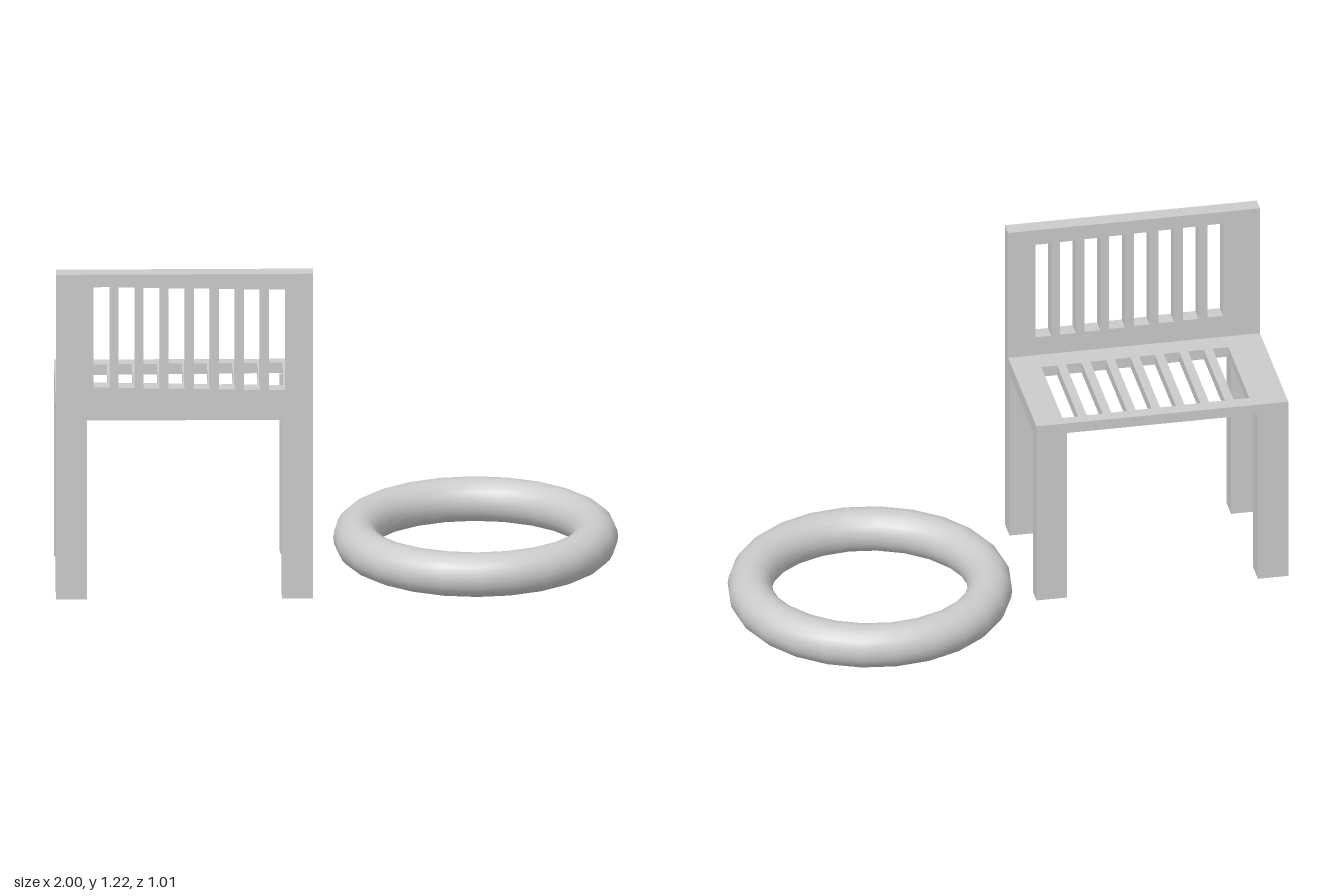
import * as THREE from 'three';

const material = new THREE.MeshStandardMaterial({ color: 0xcccccc });
const SLOTS = 8, PITCH = 0.0887, SLOT_WIDTH = 0.057;

// Box given by its lower and upper corners
function box(name, [x0, y0, z0], [x1, y1, z1]) {
  const mesh = new THREE.Mesh(new THREE.BoxGeometry(x1 - x0, y1 - y0, z1 - z0), material);
  mesh.position.set((x0 + x1) / 2, (y0 + y1) / 2, (z0 + z1) / 2);
  mesh.name = name;
  return mesh;
}

// Flat panel pierced by a row of slots whose ends drift slightly along the row
function slottedPanel(name, [x0, x1], [v0, v1], depth, firstSlot, [low, high], drift) {
  const shape = new THREE.Shape([
    new THREE.Vector2(x0, v0), new THREE.Vector2(x1, v0),
    new THREE.Vector2(x1, v1), new THREE.Vector2(x0, v1),
  ]);
  for (let i = 0; i < SLOTS; i++) {
    const a = firstSlot + i * PITCH, b = a + SLOT_WIDTH, d = drift * i / (SLOTS - 1);
    shape.holes.push(new THREE.Path([
      new THREE.Vector2(a, low + d), new THREE.Vector2(a, high + d),
      new THREE.Vector2(b, high + d), new THREE.Vector2(b, low + d),
    ]));
  }
  const mesh = new THREE.Mesh(new THREE.ExtrudeGeometry(shape, { depth, bevelEnabled: false }), material);
  mesh.name = name;
  return mesh;
}

export function createModel() {
  const model = new THREE.Group();
  const chair = new THREE.Group();
  chair.name = 'chair';

  // Upright backrest
  const back = slottedPanel('backrest', [-1, -0.09], [0.677, 1.222], 0.058, -0.867, [0.8, 1.175], -0.012);
  back.position.z = 0.417;
  chair.add(back);

  // Seat, laid flat with its shape's second axis along z
  const seat = slottedPanel('seat', [-1, -0.09], [-0.092, 0.417], 0.039, -0.87, [-0.037, 0.34], -0.012);
  seat.geometry.rotateX(Math.PI / 2);
  seat.position.y = 0.716;
  chair.add(seat);

  // Legs; the two front ones differ a little in depth
  const sides = [
    { side: 'right', x0: -1, x1: -0.89, frontEnd: -0.006, rail: [-1, -0.89] },
    { side: 'left', x0: -0.2, x1: -0.09, frontEnd: -0.027, rail: [-0.19, -0.09] },
  ];
  for (const { side, x0, x1, frontEnd, rail } of sides) {
    chair.add(box(side + 'BackrestLeg', [x0, 0.01, 0.39], [x1, 0.677, 0.475]));
    chair.add(box(side + 'SeatLeg', [x0, 0.01, -0.092], [x1, 0.677, frontEnd]));
    chair.add(box(side + 'SeatRail', [rail[0], 0.663, frontEnd], [rail[1], 0.677, 0.39]));
  }
  model.add(chair);

  // Ring lying on the ground beside the chair
  const ring = new THREE.Mesh(new THREE.TorusGeometry(0.426, 0.079, 20, 24), material);
  ring.name = 'ring';
  ring.rotation.x = -Math.PI / 2;
  ring.position.set(0.493, 0.079, 0);
  model.add(ring);

  return model;
}
